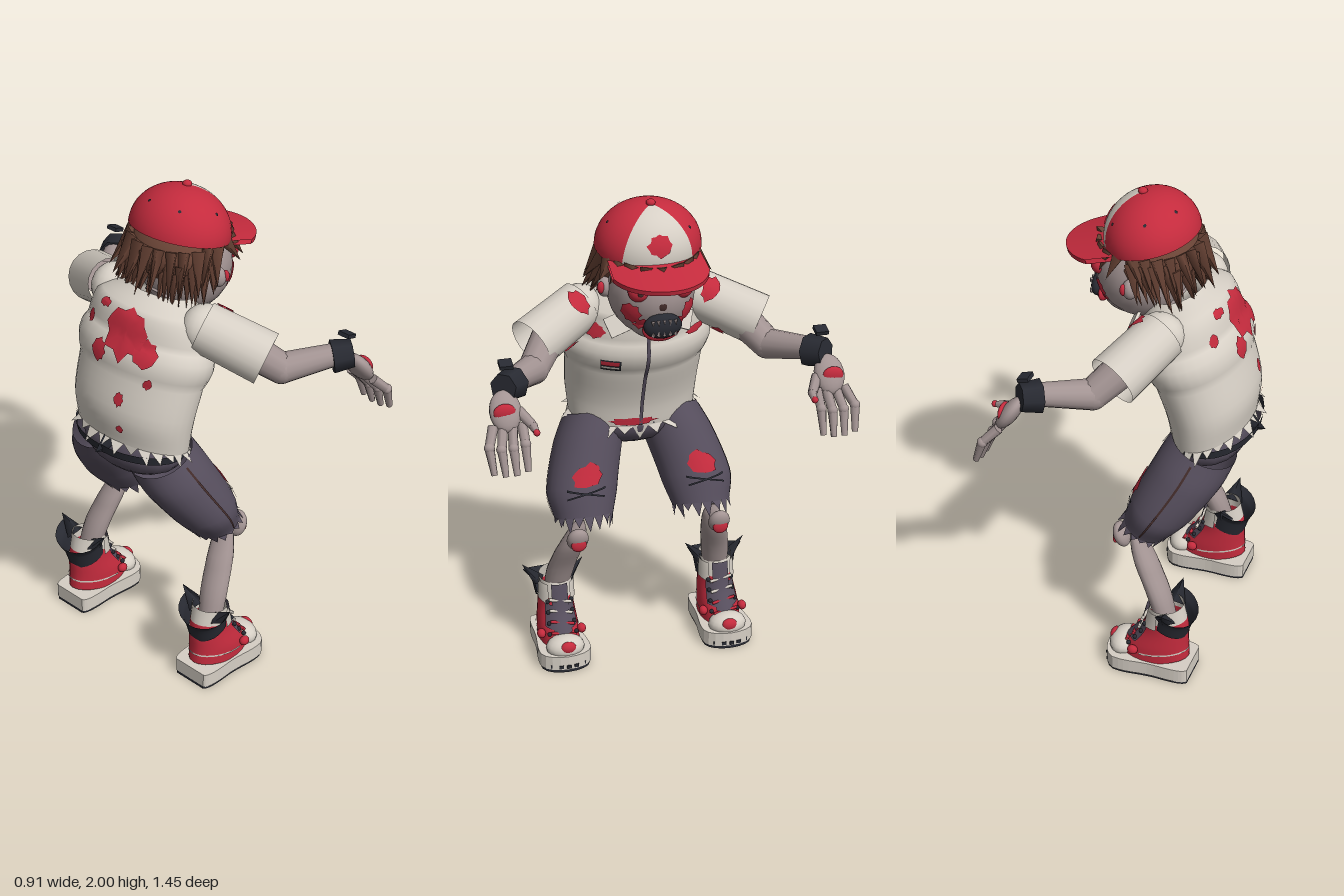
import * as THREE from 'three';
import { ParametricGeometry } from 'three/addons/geometries/ParametricGeometry.js';

const V = (x, y, z) => new THREE.Vector3(x, y, z);
const paint = (name, color) => {
  const m = new THREE.MeshStandardMaterial({ color, side: THREE.DoubleSide });
  m.name = name;
  return m;
};

export function createModel() {
  const skin = paint('skin', 0xa39493), cloth = paint('cream', 0xd6cfc5), red = paint('red', 0xc42b3d);
  const brown = paint('hair brown', 0x6a4436), grey = paint('shorts grey', 0x564e5d);
  const black = paint('black', 0x282a32), rust = paint('dark rust', 0x432c2a);
  const model = new THREE.Group();
  model.name = 'figure';
  let seed = 7;
  const rnd = () => (seed = (seed * 16807) % 2147483647) / 2147483647;

  const add = (parent, name, geo, mat) => {
    const m = new THREE.Mesh(geo, mat);
    m.name = name;
    parent.add(m);
    return m;
  };
  // Surfaces are functions of u (turn, 0 = forward, 0.25 = left side) and v (0..1 along the part).
  const loft = (rows, tilt) => {
    const mid = new THREE.CatmullRomCurve3(rows.map(r => V(r[0], r[1], r[2])));
    const rad = new THREE.CatmullRomCurve3(rows.map(r => V(r[3], r[4], 0)));
    return (u, v) => {
      const a = u * Math.PI * 2, c = mid.getPoint(v), r = rad.getPoint(v), f = Math.cos(a) * r.x;
      return V(c.x + f * Math.cos(tilt), c.y + f * Math.sin(tilt), c.z + Math.sin(a) * r.y);
    };
  };
  const ellipsoid = (c, r, tilt = 0) => (u, v) => {
    const a = u * Math.PI * 2, b = (v - 0.5) * Math.PI, k = Math.cos(b);
    return V(r.x * k * Math.cos(a), r.y * Math.sin(b), r.z * k * Math.sin(a)).applyAxisAngle(V(0, 0, 1), tilt).add(c);
  };
  const pipe = (from, to, r0, r1) => {
    const d = to.clone().sub(from).normalize();
    const e1 = V(1, 0, 0).addScaledVector(d, -d.x).normalize(), e2 = d.clone().cross(e1);
    return (u, v) => {
      const a = u * Math.PI * 2, r = r0 + (r1 - r0) * v;
      return from.clone().lerp(to, v).addScaledVector(e1, r * Math.cos(a)).addScaledVector(e2, r * Math.sin(a));
    };
  };
  const lift = (f, d) => (u, v) => {
    const p = f(u, v), axis = p.clone().add(f(u + 0.5, v)).multiplyScalar(0.5);
    return p.add(p.clone().sub(axis).normalize().multiplyScalar(d));
  };
  const skinOver = (parent, name, mat, f, u0 = 0, u1 = 1, v0 = 0, v1 = 1, n = 28, m = 14) =>
    add(parent, name, new ParametricGeometry((u, v, t) => t.copy(f(u0 + (u1 - u0) * u, v0 + (v1 - v0) * v)), n, m), mat);
  // Ragged stain that hugs a surface
  const stain = (parent, f, u0, v0, ru, rv, mat = red) => {
    const g = lift(f, 0.005), n = 16, rings = 4, pos = [], idx = [];
    const jag = Array.from({ length: n }, (_, j) => (j % 2 ? 0.75 : 0.9) + rnd() * 0.25);
    for (let k = 0; k <= rings; k++) for (let j = 0; j < n; j++) {
      const a = j / n * Math.PI * 2, r = k / rings * jag[j];
      pos.push(...g(u0 + Math.cos(a) * r * ru, v0 + Math.sin(a) * r * rv).toArray());
      if (k < rings) {
        const p = k * n + j, q = k * n + (j + 1) % n;
        idx.push(p, p + n, q, q, p + n, q + n);
      }
    }
    const geo = new THREE.BufferGeometry();
    geo.setAttribute('position', new THREE.Float32BufferAttribute(pos, 3));
    geo.setIndex(idx);
    geo.computeVertexNormals();
    return add(parent, 'stain', geo, mat);
  };
  const taper = (parent, name, mat, a, b, r0, r1, sides = 12) => {
    const m = add(parent, name, new THREE.CylinderGeometry(r1, r0, a.distanceTo(b), sides), mat);
    m.position.copy(a).add(b).multiplyScalar(0.5);
    m.quaternion.setFromUnitVectors(V(0, 1, 0), b.clone().sub(a).normalize());
    return m;
  };
  const spike = (parent, name, mat, a, b, r, flat = 1) => {
    const m = taper(parent, name, mat, a, b, r, 0, 4);
    m.scale.z = flat;
    return m;
  };
  const ball = (parent, name, mat, p, rx, ry, rz) => {
    const m = add(parent, name, new THREE.SphereGeometry(1, 18, 12), mat);
    m.position.copy(p);
    m.scale.set(rx, ry, rz);
    return m;
  };
  // Torn hem of flat triangles continuing the surface
  const hem = (parent, mat, f, n, len, flare) => {
    for (let i = 0; i < n; i++) {
      const u = i / n, w = 0.5 / n, tip = lift(f, flare * rnd())(u, 0);
      tip.addScaledVector(f(u, 0).sub(f(u, 0.12)).normalize(), len * (0.3 + rnd()));
      const geo = new THREE.BufferGeometry().setFromPoints([f(u - w, 0), tip, f(u + w, 0)]);
      geo.computeVertexNormals();
      add(parent, 'tornHem', geo, mat);
    }
  };

  // Shirt
  const torso = loft([[-.255, 1.04, 0, .16, .26], [-.25, 1.15, 0, .175, .272], [-.205, 1.3, 0, .182, .28],
    [-.16, 1.44, 0, .182, .28], [-.14, 1.54, 0, .165, .255], [-.105, 1.605, 0, .1, .14]], -0.28);
  skinOver(model, 'shirt', cloth, torso, 0, 1, 0, 1, 36, 20);
  hem(model, cloth, torso, 26, 0.05, 0.05);
  skinOver(model, 'placket', grey, lift(torso, .005), -.004, .004, .02, .72, 1, 14);
  skinOver(model, 'labelFrame', black, lift(torso, .004), .055, .1, .45, .52, 4, 4);
  skinOver(model, 'label', red, lift(torso, .008), .058, .097, .487, .515, 4, 2);
  skinOver(model, 'labelStripe', cloth, lift(torso, .008), .058, .097, .465, .48, 4, 2);
  for (const [u, v, a, b] of [[.475, .68, .055, .18], [.53, .5, .02, .06], [.42, .58, .03, .08], [.46, .3, .012, .04],
    [.6, .64, .015, .05], [.56, .8, .02, .04], [.13, .7, .028, .06], [.87, .64, .04, .03], [.02, .05, .06, .035],
    [.97, .72, .015, .04], [.4, .42, .012, .03], [.45, .12, .01, .03]]) stain(model, torso, u, v, a, b);
  for (const s of [-1, 1]) {
    const c = add(model, 'collar', new THREE.BoxGeometry(.012, .08, .14), cloth);
    c.position.set(.03, 1.51, s * .1);
    c.rotation.set(s * .35, 0, .5);
  }

  // Hips and belt
  ball(model, 'hips', grey, V(-.25, 1.0, 0), .15, .12, .235);
  const belt = loft([[-.265, 1.01, 0, .165, .25], [-.265, 1.045, 0, .17, .255]], -.06);
  skinOver(model, 'belt', black, belt, 0, 1, 0, 1, 28, 2);
  spike(model, 'beltFlap', black, V(-.38, 1.05, 0), V(-.46, 1.03, 0), .06, .5);

  // Head
  taper(model, 'neck', skin, V(-.08, 1.54, 0), V(.03, 1.64, 0), .085, .08);
  const head = ellipsoid(V(.045, 1.65, 0), V(.18, .185, .168));
  skinOver(model, 'head', skin, head);
  const jaw = ellipsoid(V(.09, 1.555, 0), V(.115, .09, .11));
  skinOver(model, 'jaw', skin, jaw);
  ball(model, 'noseHole', rust, V(.215, 1.635, 0), .01, .025, .02);
  ball(model, 'bloodyLips', red, V(.195, 1.535, 0), .02, .05, .075);
  ball(model, 'mouth', black, V(.215, 1.555, 0), .032, .05, .075);
  for (let i = -2; i <= 2; i++) for (const s of [-1, 1])
    spike(model, 'tooth', skin, V(.238, 1.555 + s * .03, i * .022), V(.246, 1.555 + s * .01, i * .022), .008);
  for (const s of [-1, 1]) {
    ball(model, 'eye', red, V(.185, 1.69, s * .083), .035, .042, .043);
    ball(model, 'pupil', rust, V(.219, 1.69, s * .085), .006, .012, .012);
    ball(model, 'ear', skin, V(.03, 1.66, s * .175), .03, .04, .03);
    ball(model, 'bloodyEar', red, V(.05, 1.665, s * .195), .012, .024, .014);
    stain(model, head, s * .12, .41, .04, .08);
    stain(model, head, s * .07, .33, .035, .05);
    stain(model, jaw, s * .13, .56, .05, .13);
  }

  // Hair: broad locks sweeping backward, short bangs in front
  ball(model, 'hairMass', brown, V(-.03, 1.745, 0), .15, .12, .18);
  for (let layer = 0; layer < 3; layer++) for (let i = 0; i < 22; i++) {
    const a = (i + layer * .33) / 22 * Math.PI * 2, front = Math.cos(a), bang = front > .4;
    if (bang && layer > 0) continue;
    const r = bang ? .195 : .16 - layer * .01, y = 1.79 - front * .01 - layer * .03;
    const len = bang ? .06 + rnd() * .035 : .09 - front * .05 + rnd() * .05;
    const base = V(front * r, y, Math.sin(a) * (bang ? .18 : r + .01));
    const tip = base.clone().add(V(bang ? .025 : -.045 - .04 * rnd(), -len, Math.sin(a) * (.05 + .03 * rnd())));
    spike(model, 'hairLock', brown, base, tip, .04, .6);
  }
  for (const s of [-1, 1]) for (const k of [0, 1])
    spike(model, 'napeLock', brown, V(-.13, 1.75, s * (.05 + k * .08)), V(-.19 + k * .02, 1.6, s * (.07 + k * .09)), .035, .6);

  // Cap with cream front panel, button and brim
  const capAt = V(.005, 1.81, 0), tilt = -.24;
  const dome = ellipsoid(capAt, V(.182, .172, .205), tilt);
  skinOver(model, 'capCrown', red, dome, .115, .885, .49, 1);
  skinOver(model, 'capPanel', cloth, dome, -.115, .115, .49, 1);
  stain(model, dome, 0, .67, .042, .08);
  for (const u of [.25, .41, .55, .69, .85]) stain(model, dome, u, .72, .007, .012, black);
  ball(model, 'capButton', red, V(.045, 1.981, 0), .018, .014, .018);
  const brim = d => (u, v) => {
    const b = (u - .5) * 2.5, inner = V(.175 * Math.cos(b * .9), 0, .2 * Math.sin(b * .9));
    const outer = V(.14 + .205 * Math.cos(b), -.008, .195 * Math.sin(b));
    const p = inner.lerp(outer, v);
    p.y += d + .02 - .02 * Math.sin(b) ** 2;
    return p.applyAxisAngle(V(0, 0, 1), tilt).add(capAt);
  };
  for (const d of [0, -.018]) skinOver(model, 'capBrim', red, brim(d), 0, 1, 0, 1, 28, 6);
  skinOver(model, 'brimEdge', red, (u, v) => brim(-.018 * v)(u, 1), 0, 1, 0, 1, 28, 1);

  // One arm and leg, built on the left and mirrored
  const side = new THREE.Group();
  side.name = 'leftLimbs';
  const elbow = V(.065, 1.37, .465), wrist = V(.255, 1.41, .6);
  ball(side, 'shoulder', cloth, V(-.115, 1.53, .235), .095, .09, .08);
  const sleeve = pipe(V(-.12, 1.535, .235), V(-.01, 1.44, .455), .098, .104);
  skinOver(side, 'sleeve', cloth, sleeve, 0, 1, 0, 1, 20, 4);
  for (const [u, v, a, b] of [[.1, .16, .09, .13], [.8, .5, .07, .12]]) stain(side, sleeve, u, v, a, b);
  taper(side, 'upperArm', skin, V(-.05, 1.48, .36), elbow, .07, .06);
  ball(side, 'elbow', skin, elbow, .06, .06, .06);
  skinOver(side, 'forearm', skin, pipe(elbow, wrist, .06, .042), 0, 1, 0, 1, 14, 2);
  taper(side, 'wristBand', black, V(.225, 1.395, .575), V(.285, 1.405, .625), .066, .055, 7);
  const shard = add(side, 'bandShard', new THREE.BoxGeometry(.045, .016, .05), black);
  shard.position.set(.265, 1.49, .61);
  shard.rotation.z = -.3;
  // Hand
  const palm = ball(side, 'palm', skin, V(.325, 1.33, .628), .033, .08, .06);
  palm.rotation.z = .6;
  ball(side, 'handWound', red, V(.347, 1.335, .635), .016, .035, .042);
  for (let i = 0; i < 4; i++) {
    const z = .572 + i * .036, drop = Math.abs(i - 1.5) * .012;
    const a = V(.35, 1.285, z), b = V(.405, 1.21 + drop, z + .009 * i), c = V(.44, 1.115 + drop, z + .006 * i);
    taper(side, 'finger', skin, a, b, .02, .018, 7);
    ball(side, 'knuckle', skin, b, .02, .02, .02);
    taper(side, 'fingertip', skin, b, c, .019, .012, 7);
  }
  taper(side, 'thumb', skin, V(.32, 1.325, .58), V(.385, 1.29, .54), .022, .018, 7);
  taper(side, 'thumbTip', skin, V(.385, 1.29, .54), V(.425, 1.28, .535), .018, .011, 7);
  ball(side, 'bloodyThumb', red, V(.43, 1.28, .535), .013, .013, .013);

  // Shorts leg
  const leg = loft([[-.07, .645, .245, .1, .12], [-.125, .74, .238, .125, .145], [-.215, .9, .19, .14, .142], [-.265, 1.01, .15, .135, .125]], .38);
  skinOver(side, 'shortsLeg', grey, leg, 0, 1, 0, 1, 26, 14);
  hem(side, grey, leg, 18, .05, .02);
  stain(side, leg, .01, .44, .065, .09);
  for (const s of [-1, 1]) // crossed stitches
    add(side, 'stitch', new ParametricGeometry((u, v, t) =>
      t.copy(lift(leg, .007)(.01 + (u - .5) * .17, .28 + s * (u - .5) * .1 + v * .02)), 8, 1), black);
  skinOver(side, 'seam', rust, lift(leg, .004), .245, .255, .05, .95, 1, 12);
  // Knee and shin
  ball(side, 'knee', skin, V(.025, .59, .295), .03, .055, .045).rotation.z = -.4;
  ball(side, 'kneeWound', red, V(.046, .575, .295), .012, .03, .032);
  skinOver(side, 'shin', skin, loft([[-.18, .26, .345, .05, .05], [-.14, .38, .33, .056, .058],
    [-.09, .48, .31, .057, .056], [-.04, .59, .285, .033, .042], [-.025, .645, .275, .012, .02]], .3), 0, 1, 0, 1, 16, 12);

  // Shoe
  const outline = k => new THREE.Shape().moveTo(-.3, -.06 * k).bezierCurveTo(-.31, -.09 * k, -.24, -.09 * k, -.2, -.09 * k)
    .bezierCurveTo(-.1, -.085 * k, -.06, -.11 * k, .01, -.1 * k).bezierCurveTo(.08, -.08 * k, .08, .08 * k, .01, .1 * k)
    .bezierCurveTo(-.06, .11 * k, -.1, .085 * k, -.2, .09 * k).bezierCurveTo(-.24, .09 * k, -.31, .09 * k, -.3, .06 * k);
  for (const [name, mat, depth, top, k] of [['sole', cloth, .06, .072, 1.05], ['tread', black, .012, .012, 1]]) {
    const geo = new THREE.ExtrudeGeometry(outline(k), { depth, bevelEnabled: false, curveSegments: 8 });
    add(side, name, geo.rotateX(Math.PI / 2), mat).position.set(0, top, .348);
  }
  const shoe = loft([[-.13, .065, .348, .155, .085], [-.145, .13, .348, .135, .083], [-.18, .22, .346, .098, .072], [-.185, .33, .345, .07, .068]], -.15);
  skinOver(side, 'shoeUpper', red, shoe, 0, 1, 0, .8, 22, 12);
  skinOver(side, 'shoeLining', cloth, shoe, 0, 1, .8, 1, 22, 4);
  skinOver(side, 'shoeSideStripe', cloth, lift(shoe, .004), .2, .8, .22, .26, 18, 2);
  // Flaring cuff that drops toward the heel, with a pointed wing each side
  const cuff = loft([[-.195, .235, .348, .088, .077], [-.21, .3, .35, .092, .088], [-.225, .34, .355, .098, .115]], .42);
  skinOver(side, 'heelCuff', black, cuff, .2, .8, 0, 1, 14, 6);
  for (const s of [-1, 1]) {
    spike(side, 'cuffWing', black, V(-.2, .3, .35 + s * .06), V(-.21, .375, .35 + s * .128), .045, .6);
    skinOver(side, 'ankleFlap', cloth, lift(shoe, .008), s * .1, s * .22, .74, .98, 8, 4);
    skinOver(side, 'lacePanel', grey, lift(shoe, .007), s * .07, s * .14, .45, .74, 6, 6);
    ball(side, 'bloodDrop', red, V(-.07, .12, .348 + s * .085), .022, .02, .018);
  }
  skinOver(side, 'tongue', grey, lift(shoe, .012), -.07, .07, .42, 1, 8, 6);
  ball(side, 'toeCap', cloth, V(-.005, .085, .348), .06, .05, .08);
  ball(side, 'toeStain', red, V(.038, .1, .345), .02, .026, .033);
  for (let i = 0; i < 4; i++) {
    const v = .38 + i * .13, f = lift(shoe, .02);
    taper(side, 'lace', i < 2 ? red : cloth, f(-.09, v), f(.09, v + .05), .007, .007, 6);
    for (const s of [-1, 1]) ball(side, 'eyelet', black, lift(shoe, .009)(s * .11, v), .009, .009, .009);
  }
  for (let i = -2; i <= 2; i++) // dark vents around the toe of the sole
    add(side, 'soleVent', new THREE.BoxGeometry(.012, .014, .018), black).position.set(.062 - i * i * .005, .025, .348 + i * .032);
  model.add(side);
  const mirror = side.clone();
  mirror.name = 'rightLimbs';
  mirror.scale.z = -1;
  model.add(mirror);
  return model;
}
